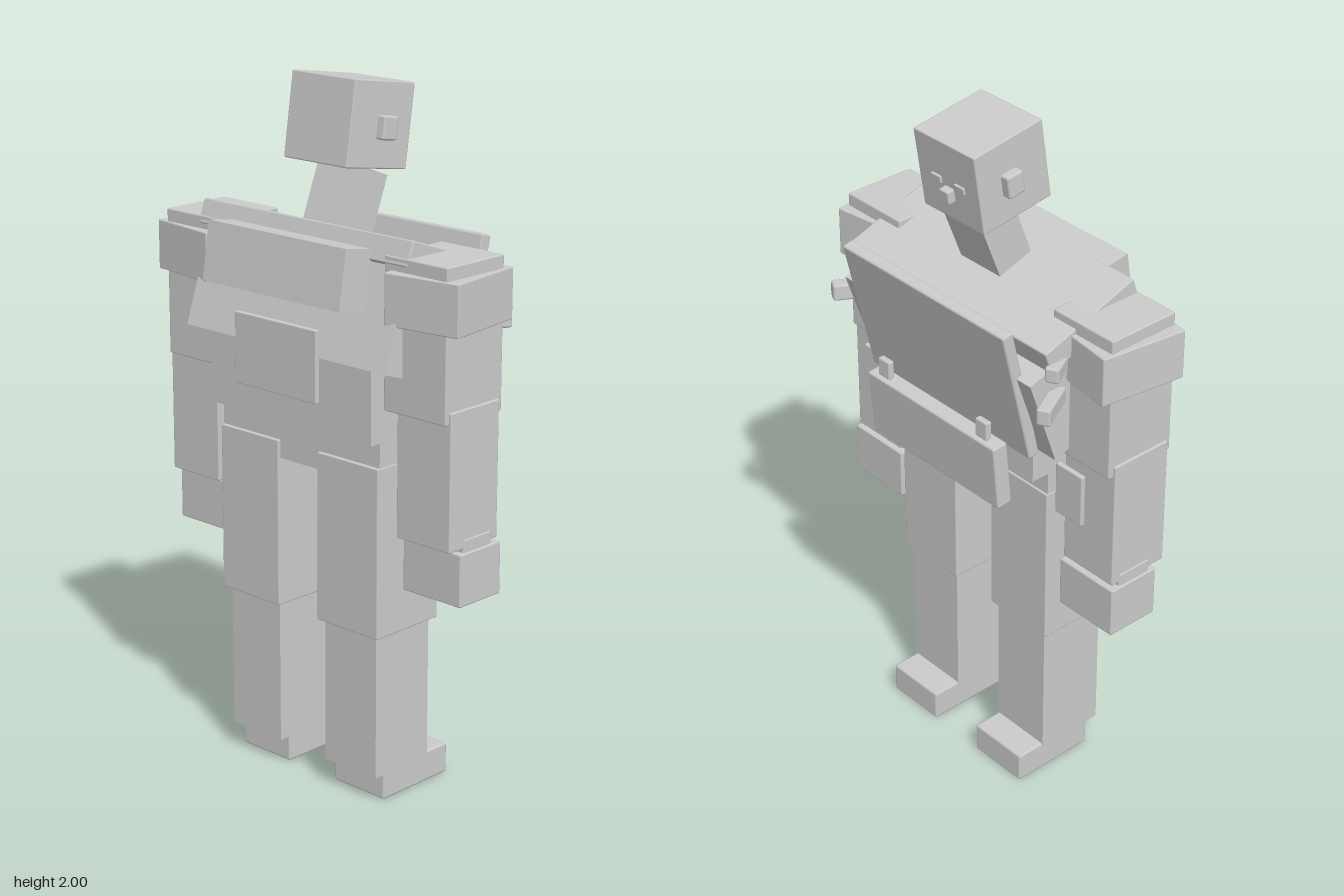
import * as THREE from 'three';
import { RoundedBoxGeometry } from 'three/addons/geometries/RoundedBoxGeometry.js';

const grey = new THREE.MeshStandardMaterial({ color: 0xcccccc });
grey.name = 'light grey';

export function createModel() {
  const model = new THREE.Group();
  model.name = 'blockFigure';

  // Box from size and centre, with an optional lean (about x) and turn (about y)
  function block(name, size, centre, { lean = 0, turn = 0, bevel = 0, parent = model } = {}) {
    const geometry = bevel
      ? new RoundedBoxGeometry(...size, 1, bevel)
      : new THREE.BoxGeometry(...size);
    const mesh = new THREE.Mesh(geometry, grey);
    mesh.name = name;
    mesh.position.set(...centre);
    mesh.rotation.set(lean, turn, 0);
    parent.add(mesh);
    return mesh;
  }

  // Box from its low and high corners
  function span(name, lo, hi, options) {
    const size = lo.map((v, i) => hi[i] - v);
    const centre = lo.map((v, i) => (hi[i] + v) / 2);
    return block(name, size, centre, options);
  }

  // Head, tilted with its face towards -z
  const head = new THREE.Group();
  head.name = 'head';
  head.position.set(0, 1.862, -0.045);
  head.rotation.x = -0.15;
  model.add(head);
  block('skull', [0.235, 0.235, 0.235], [0, 0, 0], { bevel: 0.004, parent: head });
  block('nose', [0.036, 0.04, 0.03], [0, -0.036, -0.125], { bevel: 0.005, parent: head });
  for (const s of [-1, 1]) {
    block('ear', [0.04, 0.065, 0.055], [s * 0.124, -0.006, -0.012], { bevel: 0.006, parent: head });
    block('eye', [0.038, 0.022, 0.01], [s * 0.045, -0.004, -0.119], { bevel: 0.003, parent: head });
  }
  block('neck', [0.155, 0.22, 0.115], [0, 1.63, -0.02], { lean: -0.37 });

  // Torso
  block('shoulderYoke', [0.785, 0.072, 0.325], [0, 1.532, -0.016], { lean: -0.33, bevel: 0.005 });
  block('chest', [0.75, 0.28, 0.36], [0, 1.349, 0], { lean: -0.33 });
  span('waist', [-0.305, 1.06, -0.14], [0.305, 1.28, 0.19]);
  span('pelvis', [-0.3, 0.935, -0.08], [0.3, 1.06, 0.15]);

  // Plates on the +z side
  block('upperBackBlock', [0.515, 0.166, 0.1], [0, 1.503, 0.2], { lean: -0.16 });
  span('backPlate', [-0.155, 1.155, 0.226], [0.152, 1.357, 0.242], { bevel: 0.003 });

  // Panels on the -z side
  block('chestPanel', [0.645, 0.42, 0.036], [0, 1.36, -0.198], { lean: -0.23, bevel: 0.006 });
  block('beltPanel', [0.52, 0.2, 0.05], [0, 1.085, -0.207], { lean: -0.09, bevel: 0.006 });
  for (const s of [-1, 1]) {
    block('panelTab', [0.045, 0.055, 0.02], [s * 0.2, 1.215, -0.222], { bevel: 0.004 });
    block('strapBuckle', [0.04, 0.05, 0.13], [s * 0.398, 1.358, -0.165], { turn: -s * 0.5, bevel: 0.007 });
    block('strapStud', [0.04, 0.045, 0.08], [s * 0.39, 1.455, -0.14], { turn: -s * 0.5, bevel: 0.007 });
  }

  // Arms and legs
  for (const s of [-1, 1]) {
    const limb = (name, x0, x1, y0, y1, z0, z1, bevel) => block(
      name, [x1 - x0, y1 - y0, z1 - z0],
      [s * (x0 + x1) / 2, (y0 + y1) / 2, (z0 + z1) / 2], { bevel });

    limb('upperArm', 0.308, 0.527, 1.15, 1.572, -0.077, 0.146, 0.005);
    block('shoulderBand', [0.232, 0.143, 0.258], [s * 0.433, 1.463, 0.033], { turn: s * 0.135, bevel: 0.004 });
    limb('forearm', 0.345, 0.534, 0.8, 1.185, -0.06, 0.132, 0.004);
    limb('wristCuff', 0.348, 0.537, 0.78, 0.827, -0.035, 0.078, 0.006);
    limb('hand', 0.338, 0.543, 0.64, 0.79, -0.067, 0.097, 0.005);
    limb('forearmPad', 0.35, 0.45, 0.97, 1.127, -0.1, -0.084, 0.004);

    limb('thigh', 0.075, 0.302, 0.5, 0.988, -0.085, 0.16, 0.004);
    limb('shin', 0.09, 0.283, 0.078, 0.505, -0.07, 0.142, 0);
    limb('foot', 0.09, 0.281, 0, 0.09, -0.158, 0.106, 0.007);
  }
  return model;
}
